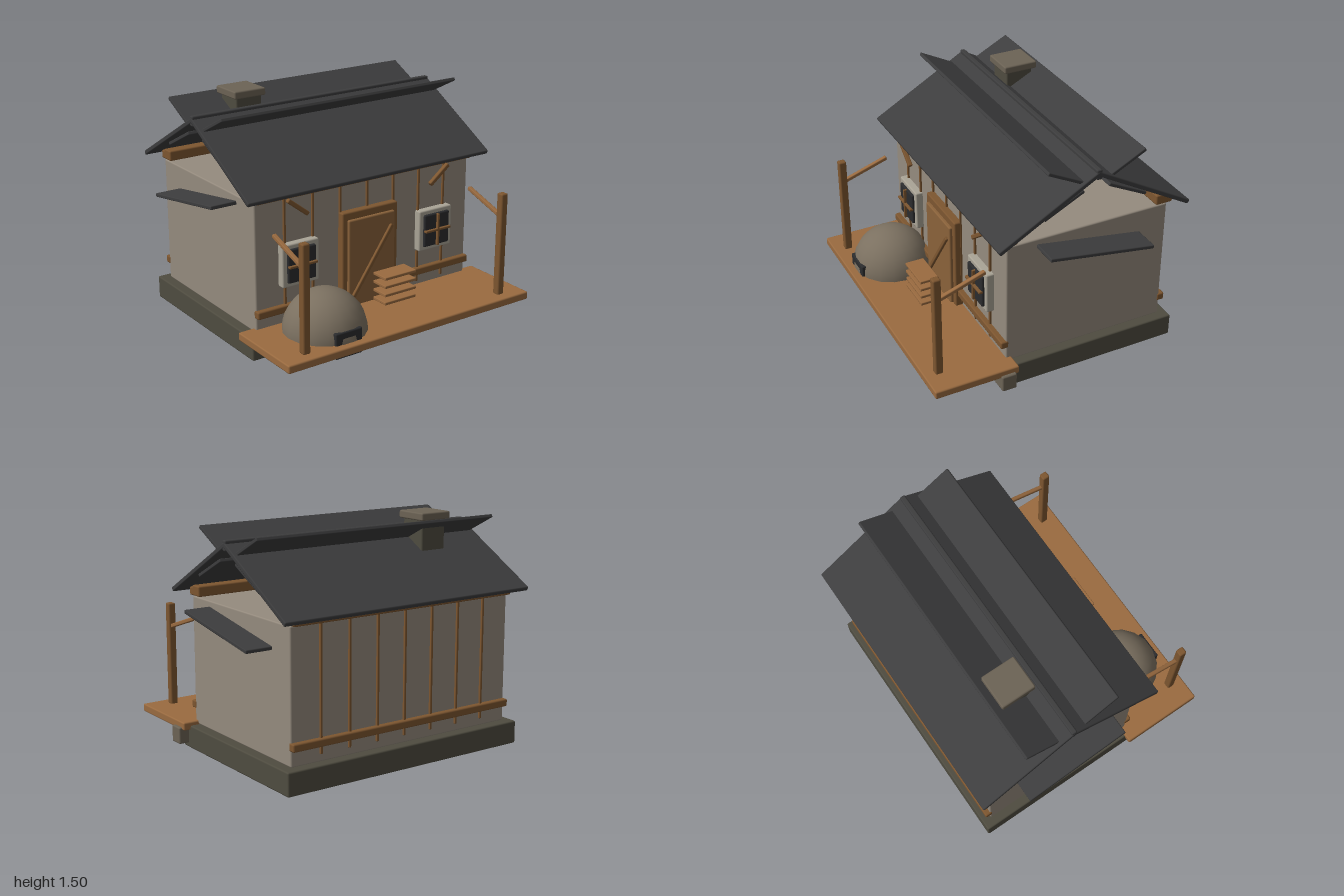
import * as THREE from 'three';
import { RoundedBoxGeometry } from 'three/addons/geometries/RoundedBoxGeometry.js';

const mat = (color) => {
  const m = new THREE.MeshStandardMaterial();
  m.color.set(color);
  return m;
};

export function createModel() {
  const house = new THREE.Group();
  house.name = 'cottage';
  const wood = mat(0x7d5630), plank = mat(0x9a6b40), door = mat(0x8a623a), wall = mat(0x958b7e);
  const roof = mat(0x3d3d3e), base = mat(0x4f4c40), stone = mat(0x6c6355), trim = mat(0xaaa496);
  const glass = mat(0x2b2c2e), clay = mat(0x7b7060);

  // Softly rounded box given by its x, y and z ranges
  const box = (name, material, [x0, x1], [y0, y1], [z0, z1], parent = house) => {
    const size = [x1 - x0, y1 - y0, z1 - z0];
    const r = Math.min(0.01, Math.min(...size) * 0.25);
    const mesh = new THREE.Mesh(new RoundedBoxGeometry(...size, 1, r), material);
    mesh.position.set((x0 + x1) / 2, (y0 + y1) / 2, (z0 + z1) / 2);
    mesh.name = name;
    parent.add(mesh);
    return mesh;
  };

  // Sloping board spanning an x range, its centre line running from [z, y] to [z, y]
  const slope = (name, material, [x0, x1], [za, ya], [zb, yb], t) => {
    const half = Math.hypot(zb - za, yb - ya) / 2;
    const mesh = box(name, material, [x0, x1], [-t / 2, t / 2], [-half, half]);
    mesh.position.set((x0 + x1) / 2, (ya + yb) / 2, (za + zb) / 2);
    mesh.rotation.x = Math.atan2(ya - yb, zb - za);
    return mesh;
  };

  // Bar in a plane facing the front, from [x, y] to [x, y]
  const bar = (name, material, [xa, ya], [xb, yb], w, [z0, z1]) => {
    const half = Math.hypot(xb - xa, yb - ya) / 2;
    const mesh = box(name, material, [-half, half], [-w / 2, w / 2], [z0, z1]);
    mesh.position.x = (xa + xb) / 2;
    mesh.position.y = (ya + yb) / 2;
    mesh.rotation.z = Math.atan2(yb - ya, xb - xa);
    return mesh;
  };

  // Foundation, front stones, walls and deck
  box('foundation', base, [-0.885, 0.885], [0, 0.15], [-0.82, 0.395]);
  for (let i = 0; i < 9; i++) {
    const x = -0.728 + i * 0.1985;
    box('foundationStone', stone, [x - 0.093, x + 0.093], [0.03, 0.14], [0.33, 0.43]);
  }
  box('walls', wall, [-0.825, 0.825], [0.15, 0.985], [-0.76, 0.343]);
  box('deck', plank, [-0.933, 0.933], [0.122, 0.175], [0.305, 0.865]);

  // Timber framing, the same on front and back
  const mid = -0.209;
  for (const s of [1, -1]) {
    const zr = (a, b) => [mid + s * a, mid + s * b].sort((p, q) => p - q);
    box('lowerRail', wood, [-0.83, 0.83], [0.25, 0.3], zr(0.535, 0.587));
    box('outerTopBeam', wood, [-0.825, 0.825], [0.985, 1.04], zr(0.53, 0.592));
    box('wallPlate', wood, [-0.825, 0.825], [0.985, 1.053], zr(0.475, 0.56));
    for (let i = -3; i <= 3; i++) {
      const x = i * 0.206;
      box('batten', wood, [x - 0.008, x + 0.008], [0.2, 0.985], zr(0.54, 0.565));
    }
  }

  // Roof slabs, loose boards above and below them, and ridge
  for (const s of [1, -1]) {
    const p = (d, y) => [mid + s * d, y];
    slope('roofSlab', roof, [-0.922, 0.922], p(0.645, 1.02), p(-0.01, 1.39), 0.03);
    slope('raisedRoofBoard', roof, [-0.897, 0.897], p(0.325, 1.455), p(0.08, 1.33), 0.022);
    slope('lowerRoofBoard', roof, [-0.897, 0.897], p(0.345, 1.15), p(0.085, 1.28), 0.022);
  }
  box('ridgeBeam', roof, [-0.92, 0.92], [1.345, 1.412], [mid - 0.018, mid + 0.018]);

  // Slanted boards on the side walls
  for (const s of [1, -1]) {
    const xr = s > 0 ? [0.8, 1] : [-1, -0.8];
    slope('sideBoard', roof, xr, [0.143, 0.938], [-0.57, 0.822], 0.024);
  }

  // Chimney
  box('chimney', base, [-0.56, -0.375], [0.97, 1.46], [-0.457, -0.272]);
  box('chimneyCap', stone, [-0.582, -0.355], [1.452, 1.502], [-0.482, -0.25]);

  // Door with a diagonal brace
  box('doorFrame', wood, [-0.217, 0.212], [0.175, 0.812], [0.335, 0.393]);
  box('doorPanel', door, [-0.182, 0.177], [0.185, 0.763], [0.37, 0.413]);
  bar('doorBrace', wood, [-0.15, 0.255], [0.148, 0.678], 0.026, [0.405, 0.43]);

  // Stacked step boards in front of the door
  for (let i = 0; i < 4; i++) {
    const y = 0.25 + i * 0.0555;
    box('stepBoard', plank, [-0.057, 0.187], [y - 0.01, y + 0.01], [0.497, 0.625]);
  }

  for (const s of [1, -1]) {
    // Window
    const win = new THREE.Group();
    win.name = 'window';
    win.position.set(s * 0.528, 0.56, 0);
    house.add(win);
    box('windowFrame', trim, [-0.133, 0.133], [-0.138, 0.138], [0.335, 0.393], win);
    box('windowPane', glass, [-0.102, 0.102], [-0.11, 0.11], [0.37, 0.41], win);
    box('uprightGlazingBar', wood, [-0.008, 0.008], [-0.108, 0.108], [0.4, 0.428], win);
    box('crossGlazingBar', wood, [-0.102, 0.102], [-0.008, 0.008], [0.4, 0.428], win);

    // Porch post and its brace, and the short brace under the eave
    const x = s * 0.758;
    box('porchPost', wood, [x - 0.025, x + 0.025], [0.17, 0.862], [0.743, 0.795]);
    slope('porchBrace', plank, [x - 0.014, x + 0.014], [0.77, 0.702], [0.45, 0.81], 0.026);
    bar('eaveBrace', wood, [s * 0.62, 0.982], [s * 0.475, 0.87], 0.028, [0.375, 0.405]);
  }

  // Domed oven with its dark mouth
  const dome = new THREE.Mesh(
    new THREE.SphereGeometry(0.265, 18, 8, 0, Math.PI * 2, 0, Math.PI / 2), clay);
  dome.name = 'ovenDome';
  dome.position.set(-0.467, 0.17, 0.555);
  house.add(dome);
  box('ovenMouth', glass, [-0.565, -0.37], [0.085, 0.252], [0.778, 0.812]);

  return house;
}
